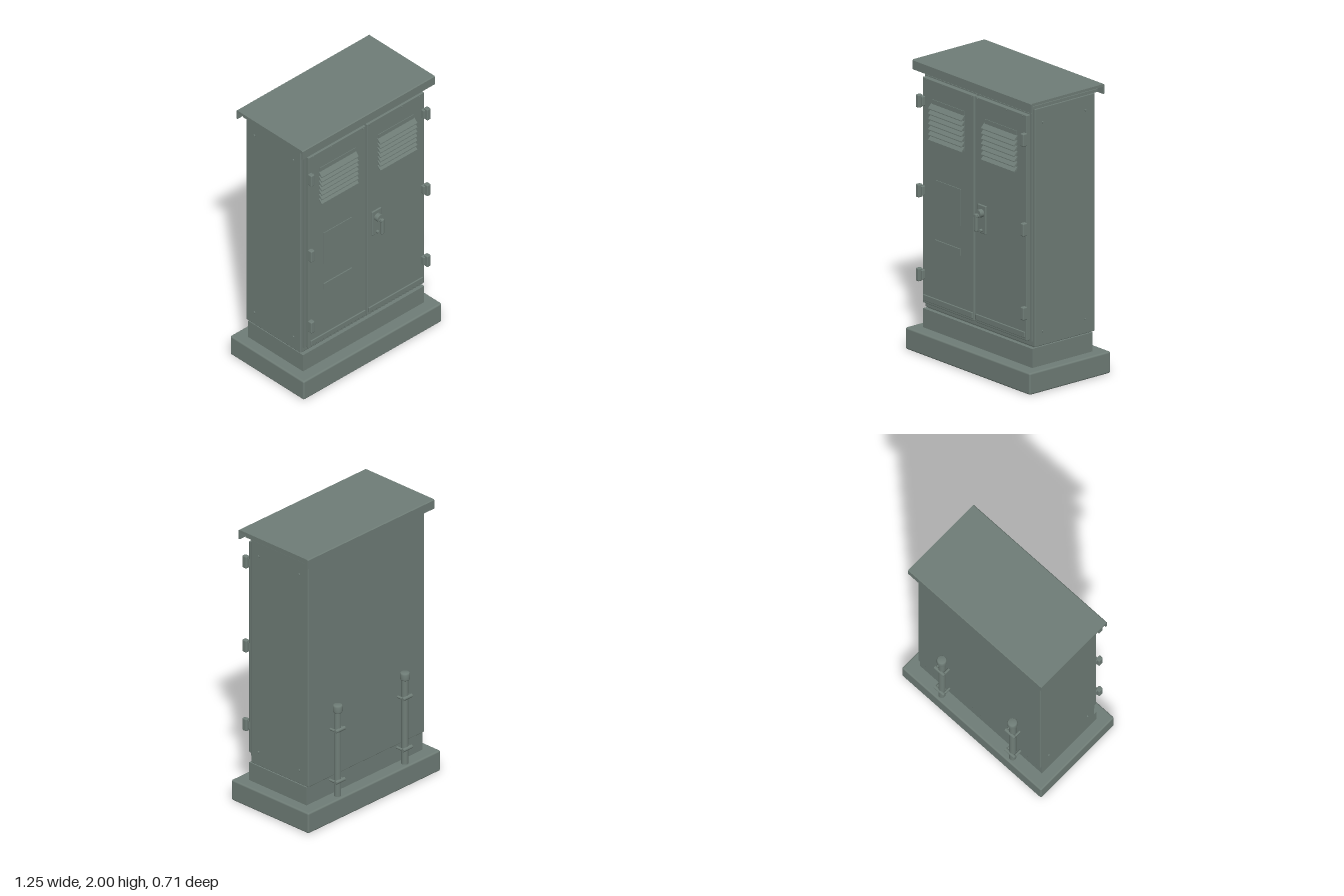
import * as THREE from 'three';
import { RoundedBoxGeometry } from 'three/addons/geometries/RoundedBoxGeometry.js';

export function createModel() {
  const model = new THREE.Group();
  model.name = 'utilityCabinet';
  const paint = new THREE.MeshStandardMaterial({ color: 0x6f7d77 });
  paint.name = 'greyGreenPaint';

  const add = (name, geometry, x = 0, y = 0, z = 0) => {
    const mesh = new THREE.Mesh(geometry, paint);
    mesh.name = name;
    mesh.position.set(x, y, z);
    model.add(mesh);
    return mesh;
  };
  // Box given by its limits, with softened edges when r > 0
  const box = (name, [x0, x1], [y0, y1], [z0, z1], r = 0) => {
    const w = x1 - x0, h = y1 - y0, d = z1 - z0;
    const g = r ? new RoundedBoxGeometry(w, h, d, 2, r) : new THREE.BoxGeometry(w, h, d);
    return add(name, g, (x0 + x1) / 2, (y0 + y1) / 2, (z0 + z1) / 2);
  };
  const rod = (name, r, length, axis, x, y, z, sides = 20) => {
    const g = new THREE.CylinderGeometry(r, r, length, sides);
    if (axis === 'x') g.rotateZ(Math.PI / 2);
    if (axis === 'z') g.rotateX(Math.PI / 2);
    return add(name, g, x, y, z);
  };

  // Base, plinth and cabinet shell
  box('baseSlab', [-0.625, 0.625], [0, 0.15], [-0.354, 0.346], 0.012);
  box('plinth', [-0.548, 0.548], [0.14, 0.282], [-0.263, 0.258]);
  box('plinthSeam', [-0.53, 0.53], [0.27, 0.3], [-0.25, 0.23]);
  box('cabinetBody', [-0.55, 0.55], [0.288, 1.935], [-0.28, 0.237], 0.006);
  box('doorFrame', [-0.533, 0.533], [0.328, 1.903], [0.23, 0.254]);

  // Roof: folded sheet with lips at the front and back, open at the ends
  const section = new THREE.Shape([
    [-0.322, 1.932], [-0.31, 1.932], [-0.31, 1.982], [0.294, 1.982], [0.294, 1.932],
    [0.306, 1.932], [0.306, 1.994], [0.3, 2], [-0.316, 2], [-0.322, 1.994],
  ].map(([z, y]) => new THREE.Vector2(-z, y)));
  const roof = new THREE.ExtrudeGeometry(section, { depth: 1.196, bevelEnabled: false });
  roof.translate(0, 0, -0.598).rotateY(Math.PI / 2);
  add('roof', roof);
  box('roofUnderTray', [-0.57, 0.57], [1.945, 1.966], [-0.287, 0.272]);
  box('roofSpacer', [-0.54, 0.54], [1.92, 1.985], [-0.26, 0.23]);

  for (const s of [-1, 1]) {
    const span = (a, b) => (s > 0 ? [a, b] : [-b, -a]);

    // Door with drip strip along the bottom
    box('door', span(0.006, 0.522), [0.336, 1.895], [0.25, 0.285], 0.005);
    box('dripStrip', span(0.015, 0.508), [0.355, 0.396], [0.283, 0.294], 0.004);
    for (const x of [0.03, 0.32, 0.48]) rod('doorScrew', 0.005, 0.006, 'z', s * x, 1.882, 0.287, 10);

    // Louvred vent with sloping slats
    box('ventPlate', span(0.103, 0.425), [1.485, 1.765], [0.283, 0.289]);
    for (let i = 0; i < 7; i++) {
      const slat = new THREE.Shape([
        new THREE.Vector2(0, 0.022), new THREE.Vector2(-0.029, -0.008),
        new THREE.Vector2(-0.029, -0.014), new THREE.Vector2(-0.023, -0.014), new THREE.Vector2(0, 0.008),
      ]);
      const g = new THREE.ExtrudeGeometry(slat, { depth: 0.334, bevelEnabled: false });
      g.translate(0, 0, -0.167).rotateY(Math.PI / 2);
      add('ventSlat', g, s * 0.265, 1.715 - i * 0.0362, 0.286);
    }

    // Hinges on the outer edge
    for (const y of [1.735, 1.115, 0.535]) {
      box('hingeLeaf', span(0.495, 0.522), [y - 0.032, y + 0.032], [0.28, 0.31], 0.005);
      box('hingeKnuckle', span(0.508, 0.541), [y - 0.045, y + 0.045], [0.292, 0.33], 0.008);
    }

    // Side bolts
    for (const y of [0.388, 1.833])
      for (const z of [0.17, -0.2]) rod('sideBolt', 0.008, 0.012, 'x', s * 0.552, y, z, 12);
  }

  // Door plates
  box('noticePlate', [-0.39, -0.136], [0.962, 1.216], [0.284, 0.29]);
  box('labelPlate', [-0.39, -0.136], [0.757, 0.803], [0.284, 0.293]);

  // Lock and swing handle
  box('lockPlate', [0.043, 0.126], [0.97, 1.166], [0.283, 0.298], 0.006);
  rod('handleBoss', 0.028, 0.035, 'z', 0.085, 1.112, 0.313);
  rod('handleStem', 0.014, 0.045, 'z', 0.085, 1.1, 0.332);
  box('handleLever', [0.072, 0.098], [0.995, 1.118], [0.333, 0.357], 0.009);
  rod('keyBarrel', 0.011, 0.02, 'z', 0.085, 0.992, 0.306);

  // Rear conduits with caps and clamps
  for (const x of [-0.33, 0.305]) {
    rod('conduit', 0.024, 0.65, 'y', x, 0.465, -0.311);
    const cap = [[0, 0], [0.03, 0], [0.033, 0.006], [0.033, 0.04], [0.028, 0.05], [0, 0.05]]
      .map(([r, y]) => new THREE.Vector2(r, y));
    add('conduitCap', new THREE.LatheGeometry(cap, 20), x, 0.77, -0.313);
    for (const y of [0.265, 0.642]) {
      rod('clampBar', 0.013, 0.085, 'x', x, y, -0.332, 12);
      for (const s of [-1, 1]) rod('clampLeg', 0.009, 0.06, 'z', x + s * 0.034, y, -0.303, 10);
    }
  }
  return model;
}
